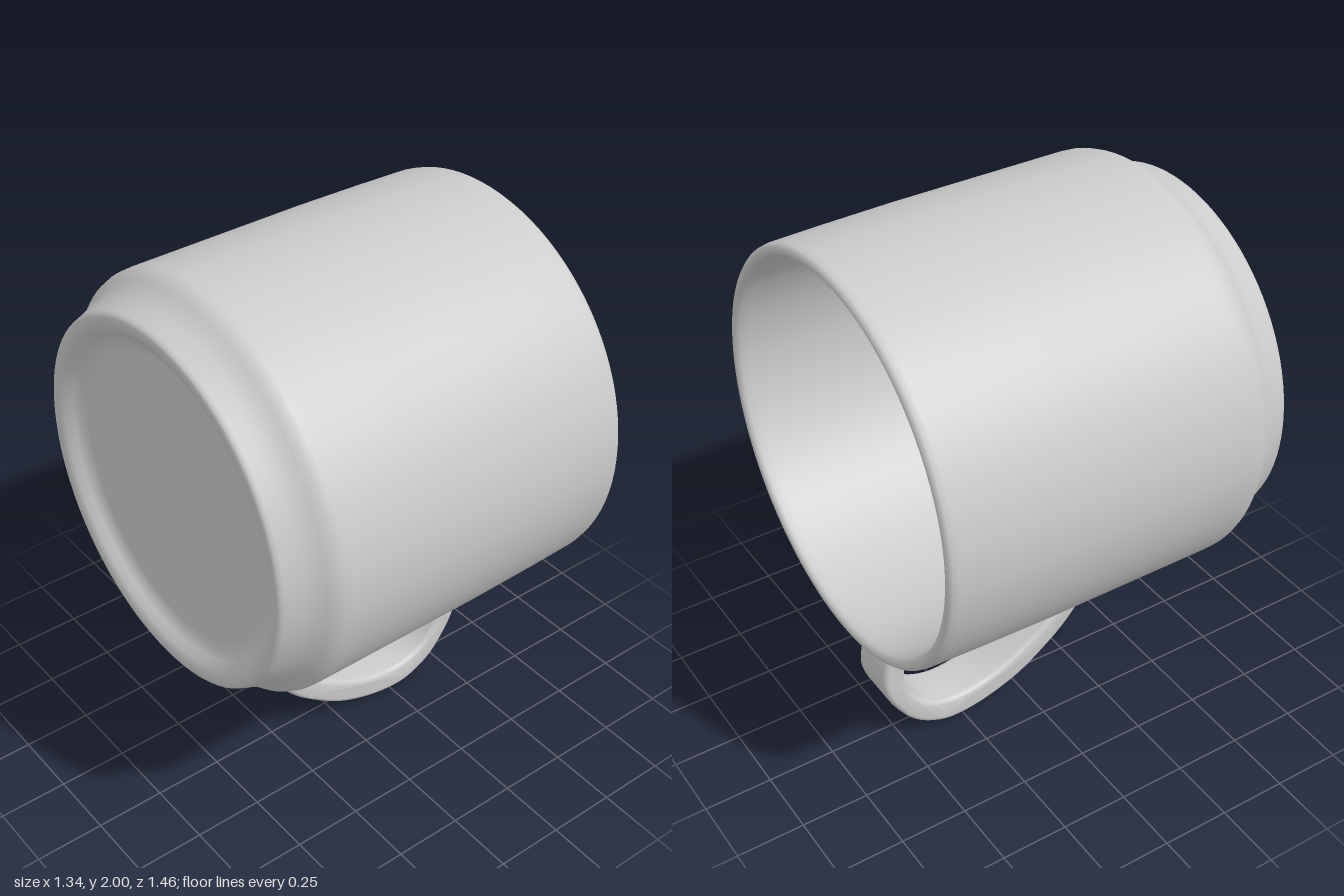
import * as THREE from 'three';
import { toCreasedNormals } from 'three/addons/utils/BufferGeometryUtils.js';

const AXIS_Y = 1.27; // height of the mug's axis as it lies on its side
const material = new THREE.MeshStandardMaterial({ color: 0xcccccc, side: THREE.DoubleSide });
const vectors = (list) => list.map(([x, y]) => new THREE.Vector2(x, y));

// Revolved wall: recessed base, stepped foot, outer side, rounded rim, inside, floor
function createBody() {
  const profile = vectors([
    [0, -0.61], [0.5, -0.61], [0.535, -0.615], [0.56, -0.635], [0.58, -0.657], [0.605, -0.668],
    [0.628, -0.669], [0.64, -0.663], [0.645, -0.65], [0.655, -0.62], [0.667, -0.59],
    [0.682, -0.56], [0.703, -0.535], [0.72, -0.515], [0.729, -0.49], [0.731, -0.46],
    [0.731, -0.2], [0.731, 0.2], [0.727, 0.45], [0.722, 0.635], [0.718, 0.655], [0.709, 0.665],
    [0.696, 0.668], [0.684, 0.662], [0.677, 0.65], [0.673, 0.62], [0.67, 0.4], [0.667, 0],
    [0.663, -0.4], [0.658, -0.49], [0.64, -0.53], [0.6, -0.55], [0.55, -0.555], [0, -0.555],
  ]);
  const body = new THREE.Mesh(new THREE.LatheGeometry(profile, 96), material);
  body.name = 'mugBody';
  body.rotation.z = -Math.PI / 2;
  body.position.y = AXIS_Y;
  return body;
}

// Looped handle: side outline extruded across z, with rounded edges
function createHandle() {
  const outer = vectors([
    [-0.46, 0.535], [-0.4, 0.475], [-0.23, 0.255], [-0.12, 0.155], [0.01, 0.07], [0.16, 0.018],
    [0.29, 0.004], [0.38, 0.028], [0.46, 0.082], [0.535, 0.185], [0.57, 0.28], [0.562, 0.37],
    [0.538, 0.45], [0.545, 0.53],
  ]);
  const inner = vectors([
    [0.46, 0.455], [0.477, 0.385], [0.486, 0.295], [0.458, 0.212], [0.39, 0.134], [0.28, 0.1],
    [0.14, 0.12], [0.01, 0.178], [-0.125, 0.272], [-0.255, 0.405], [-0.345, 0.52],
  ]);
  const shape = new THREE.Shape();
  shape.moveTo(-0.48, 0.575);
  shape.lineTo(outer[0].x, outer[0].y);
  shape.splineThru(outer.slice(1));
  shape.lineTo(0.55, 0.575);
  // Mounting pad under the rim end
  shape.lineTo(0.28, 0.575);
  shape.lineTo(0.28, 0.475);
  shape.quadraticCurveTo(0.285, 0.465, 0.31, 0.462);
  shape.lineTo(inner[0].x, inner[0].y);
  shape.splineThru(inner.slice(1));
  shape.lineTo(-0.37, 0.575);

  const bevel = 0.02, width = 0.19;
  const geometry = new THREE.ExtrudeGeometry(shape, {
    depth: width - 2 * bevel, curveSegments: 4, bevelEnabled: true, bevelSegments: 4,
    bevelSize: bevel, bevelThickness: bevel, bevelOffset: -bevel,
  });
  geometry.translate(0, 0, bevel - width / 2);

  // Flare the ends slightly where they meet the wall
  const p = geometry.attributes.position;
  for (let i = 0; i < p.count; i++) {
    p.setZ(i, p.getZ(i) * (1 + 0.18 * THREE.MathUtils.smoothstep(p.getY(i), 0.49, 0.58)));
  }
  const handle = new THREE.Mesh(toCreasedNormals(geometry, 0.7), material);
  handle.name = 'handle';
  return handle;
}

export function createModel() {
  const mug = new THREE.Group();
  mug.name = 'mug';
  mug.add(createBody(), createHandle());
  return mug;
}
